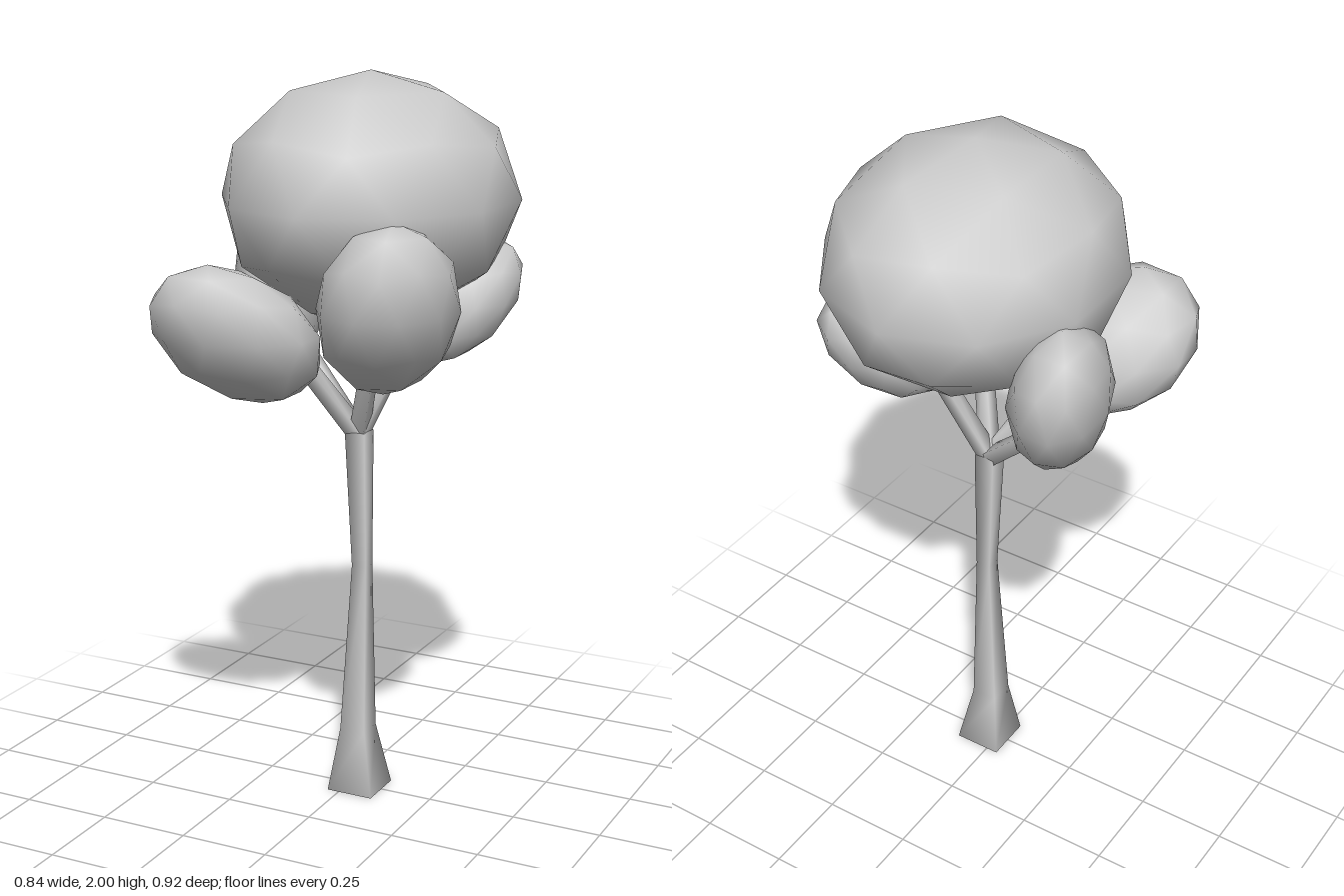
import * as THREE from 'three';
import { mergeVertices } from 'three/addons/utils/BufferGeometryUtils.js';

const material = new THREE.MeshStandardMaterial({ color: 0xcccccc });
const vec = (a) => new THREE.Vector3(...a);

// Share vertices so the few-sided wood is smoothly shaded
function smooth(geometry) {
  geometry.deleteAttribute('uv');
  geometry.deleteAttribute('normal');
  const merged = mergeVertices(geometry, 1e-4);
  merged.computeVertexNormals();
  return merged;
}

function addMesh(group, name, geometry) {
  const mesh = new THREE.Mesh(geometry, material);
  mesh.name = name;
  group.add(mesh);
}

// Four-sided trunk: each section is [y, centre x, centre z, half width]
function trunkGeometry() {
  const sections = [
    [0, 0.033, 0.003, 0.067],
    [0.18, 0.028, 0.003, 0.037],
    [0.66, 0.04, 0.003, 0.021],
    [1.04, 0.031, 0.004, 0.029],
  ];
  const rows = sections.length - 1;
  const geometry = new THREE.CylinderGeometry(Math.SQRT2, Math.SQRT2, rows, 4, rows, false, Math.PI / 4);
  const p = geometry.attributes.position;
  for (let i = 0; i < p.count; i++) {
    const [y, cx, cz, half] = sections[Math.round(p.getY(i) + rows / 2)];
    p.setXYZ(i, cx + p.getX(i) * half, y, cz + p.getZ(i) * half);
  }
  return smooth(geometry);
}

// Tapered four-sided branch between two points
function branchGeometry(from, to) {
  const a = vec(from), b = vec(to);
  const dir = b.clone().sub(a);
  const geometry = new THREE.CylinderGeometry(0.026, 0.03, dir.length(), 4, 1, false, Math.PI / 4);
  geometry.applyQuaternion(new THREE.Quaternion().setFromUnitVectors(new THREE.Vector3(0, 1, 0), dir.normalize()));
  const mid = a.add(b).multiplyScalar(0.5);
  geometry.translate(mid.x, mid.y, mid.z);
  return smooth(geometry);
}

// Low-poly ball with a vertex on top, stretched along side, up and front axes
function foliageGeometry(centre, side, up, front) {
  const geometry = new THREE.IcosahedronGeometry(1, 1);
  geometry.rotateZ(-Math.atan(2 / (1 + Math.sqrt(5))));
  const matrix = new THREE.Matrix4().makeBasis(vec(side), vec(up), vec(front));
  return geometry.applyMatrix4(matrix.setPosition(...centre));
}

export function createModel() {
  const tree = new THREE.Group();
  tree.name = 'tree';

  addMesh(tree, 'trunk', trunkGeometry());
  addMesh(tree, 'crown', foliageGeometry([0.047, 1.67, -0.03], [0.394, 0, 0], [0, 0.33, 0], [0, 0, 0.43]));

  // Side clumps lean outwards, each on its own branch
  const clumps = [
    { name: 'frontRight', tip: [-0.09, 1.27, 0.14], centre: [-0.19, 1.335, 0.28],
      side: [0.217, 0, -0.028], up: [-0.034, 0.195, 0.079], front: [0, 0, 0.162] },
    { name: 'frontLeft', tip: [0.14, 1.35, 0.13], centre: [0.225, 1.43, 0.235],
      side: [0.183, 0, 0.003], up: [0.041, 0.235, 0.06], front: [0, 0, 0.203] },
    { name: 'backRight', tip: [-0.19, 1.25, -0.08], centre: [-0.275, 1.43, -0.14],
      side: [0.146, 0, 0.067], up: [-0.042, 0.238, -0.068], front: [0, 0, 0.2] },
    { name: 'backLeft', tip: [0.16, 1.34, -0.08], centre: [0.265, 1.395, -0.145],
      side: [0.144, 0, -0.01], up: [0.049, 0.165, -0.064], front: [0, 0, 0.143] },
  ];
  for (const c of clumps) {
    addMesh(tree, c.name + 'Branch', branchGeometry([0.03, 1.03, 0.004], c.tip));
    addMesh(tree, c.name + 'Foliage', foliageGeometry(c.centre, c.side, c.up, c.front));
  }
  return tree;
}
